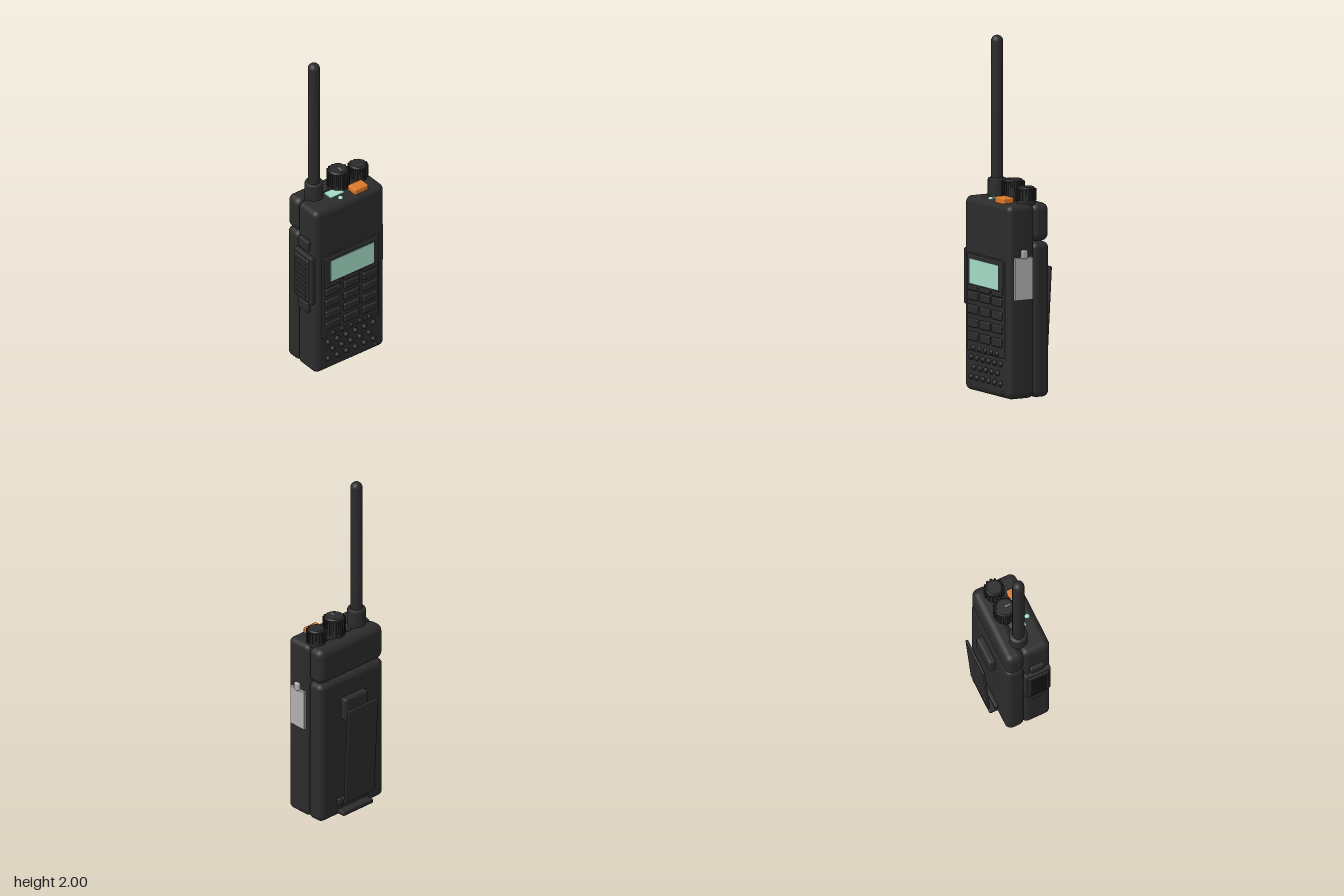
import * as THREE from 'three';
import { RoundedBoxGeometry } from 'three/addons/geometries/RoundedBoxGeometry.js';

const mat = (name, color) => Object.assign(new THREE.MeshStandardMaterial({ color }), { name });

export function createModel() {
  const black = mat('black plastic', 0x2b2b2b);
  const dark = mat('dark rubber', 0x242424);
  const green = mat('pale green display', 0xa3dbc5);
  const orange = mat('orange button', 0xd9772b);
  const grey = mat('light grey metal', 0xb0b0b0);
  const radio = new THREE.Group();
  radio.name = 'handheldRadio';

  const add = (name, geometry, material, x, y, z, parent = radio) => {
    const mesh = new THREE.Mesh(geometry, material);
    mesh.name = name;
    mesh.position.set(x, y, z);
    parent.add(mesh);
    return mesh;
  };
  // Rounded box given by its extents [x0, x1], [y0, y1], [z0, z1]
  const block = (name, material, [x0, x1], [y0, y1], [z0, z1], r = 0.008, segments = 3) =>
    add(name, new RoundedBoxGeometry(x1 - x0, y1 - y0, z1 - z0, segments, r), material,
      (x0 + x1) / 2, (y0 + y1) / 2, (z0 + z1) / 2);

  // Main shells
  block('frontShell', black, [-0.237, 0.249], [0.01, 1.1], [-0.002, 0.17], 0.036, 5);
  block('batteryPack', black, [-0.237, 0.249], [0.01, 0.882], [-0.098, 0.012], 0.036, 5);
  block('rearTopCap', black, [-0.237, 0.249], [0.885, 1.1], [-0.098, 0.012], 0.042, 5);

  // Antenna with collar
  const antennaProfile = [[0, 1.19], [0.034, 1.19], [0.034, 1.966]];
  for (let i = 1; i <= 8; i++) {
    const a = (i / 8) * Math.PI / 2;
    antennaProfile.push([0.034 * Math.cos(a), 1.966 + 0.034 * Math.sin(a)]);
  }
  add('antenna', new THREE.LatheGeometry(antennaProfile.map(p => new THREE.Vector2(...p)), 32),
    black, -0.132, 0, 0.017);
  const collarProfile = [[0.052, 1.08], [0.052, 1.19], [0.049, 1.198], [0.034, 1.2]];
  add('antennaCollar', new THREE.LatheGeometry(collarProfile.map(p => new THREE.Vector2(...p)), 32),
    black, -0.132, 0, 0.017);

  // Ribbed top knobs
  const knob = (name, x, z, r, top, ribs) => {
    const group = new THREE.Group();
    group.name = name;
    group.position.set(x, 1.09, z);
    const h = top - 1.09;
    add('knobBody', new THREE.CylinderGeometry(r - 0.004, r, h - 0.008, 40), black, 0, (h - 0.008) / 2, 0, group);
    add('knobCap', new THREE.CylinderGeometry(r - 0.012, r - 0.004, 0.008, 40), black, 0, h - 0.004, 0, group);
    for (let i = 0; i < ribs; i++) {
      const a = (i / ribs) * Math.PI * 2 + 0.1;
      const rib = add('knobRib', new THREE.BoxGeometry(0.01, h - 0.035, 0.012), dark,
        Math.cos(a) * r, h / 2 + 0.006, Math.sin(a) * r, group);
      rib.rotation.y = -a;
    }
    radio.add(group);
    return group;
  };
  const channelKnob = knob('channelKnob', 0.038, 0.016, 0.06, 1.215, 16);
  add('knobPointer', new THREE.BoxGeometry(0.006, 0.004, 0.032), grey, 0, 0.126, 0.016, channelKnob);
  knob('volumeKnob', 0.176, 0.016, 0.053, 1.19, 14);

  // Top display, indicator lamp and emergency button
  block('topDisplay', green, [-0.075, 0.022], [1.097, 1.105], [0.03, 0.095], 0.002, 1);
  add('indicatorLamp', new THREE.SphereGeometry(0.015, 20, 12), green, -0.027, 1.1, 0.122);
  block('emergencyButton', orange, [0.055, 0.152], [1.09, 1.13], [0.077, 0.148], 0.01);

  // Front keypad panel and screen
  block('keypadPanel', black, [-0.192, 0.204], [0.238, 0.788], [0.16, 0.177], 0.007);
  block('screenBezel', black, [-0.182, 0.194], [0.597, 0.782], [0.165, 0.185], 0.007);
  add('screen', new THREE.BoxGeometry(0.302, 0.138, 0.006), green, 0.006, 0.688, 0.185);
  const columns = [-0.124, 0.006, 0.136];
  for (const x of columns) {
    block('softKey', black, [x - 0.053, x + 0.053], [0.58, 0.612], [0.168, 0.189], 0.009);
    for (const y of [0.55, 0.474, 0.398, 0.322])
      block('key', black, [x - 0.053, x + 0.053], [y - 0.025, y + 0.025], [0.168, 0.189], 0.009);
  }

  // Speaker grille studs in staggered rows
  const stud = new THREE.SphereGeometry(0.016, 16, 10);
  [0.258, 0.203, 0.148, 0.092].forEach((y, row) => {
    const count = row % 2 ? 6 : 5;
    for (let i = 0; i < count; i++) {
      const x = 0.006 + (i - (count - 1) / 2) * 0.063;
      add('speakerStud', stud, black, x, y, 0.172).name = 'speakerStud';
    }
  });
  add('microphoneStud', new THREE.SphereGeometry(0.011, 14, 10), black, 0.182, 0.045, 0.168);

  // Push-to-talk side with two small buttons
  block('talkFrame', black, [-0.261, -0.225], [0.485, 0.803], [0.0, 0.157], 0.01);
  block('talkButton', black, [-0.271, -0.25], [0.505, 0.783], [0.015, 0.142], 0.008);
  for (let i = 0; i < 8; i++) {
    const y = 0.535 + i * 0.031;
    block('talkRib', dark, [-0.275, -0.265], [y - 0.007, y + 0.007], [0.03, 0.127], 0.004, 2);
  }
  for (const y of [0.448, 0.862])
    block('sideButton', black, [-0.259, -0.225], [y - 0.034, y + 0.034], [0.035, 0.122], 0.01);

  // Accessory connector cover with thumb screw
  block('connectorCover', grey, [0.243, 0.262], [0.567, 0.807], [0.022, 0.137], 0.004);
  block('coverScrew', grey, [0.25, 0.274], [0.8, 0.85], [0.06, 0.098], 0.01);

  // Belt clip
  block('clipMount', black, [-0.082, 0.094], [0.62, 0.757], [-0.136, -0.085], 0.014);
  const clip = add('clipPlate', new RoundedBoxGeometry(0.226, 0.605, 0.016, 3, 0.007), black, 0.006, 0.415, -0.165);
  clip.rotation.x = -0.054;
  block('clipStop', black, [-0.115, 0.127], [0.085, 0.128], [-0.118, -0.085], 0.008);
  block('clipFoot', black, [-0.107, 0.119], [0.028, 0.057], [-0.146, -0.085], 0.008);

  // Charging contacts underneath
  for (const x of [-0.058, 0.006, 0.07])
    block('chargingContact', grey, [x - 0.019, x + 0.019], [0, 0.02], [-0.06, -0.024], 0.004, 2);

  return radio;
}
